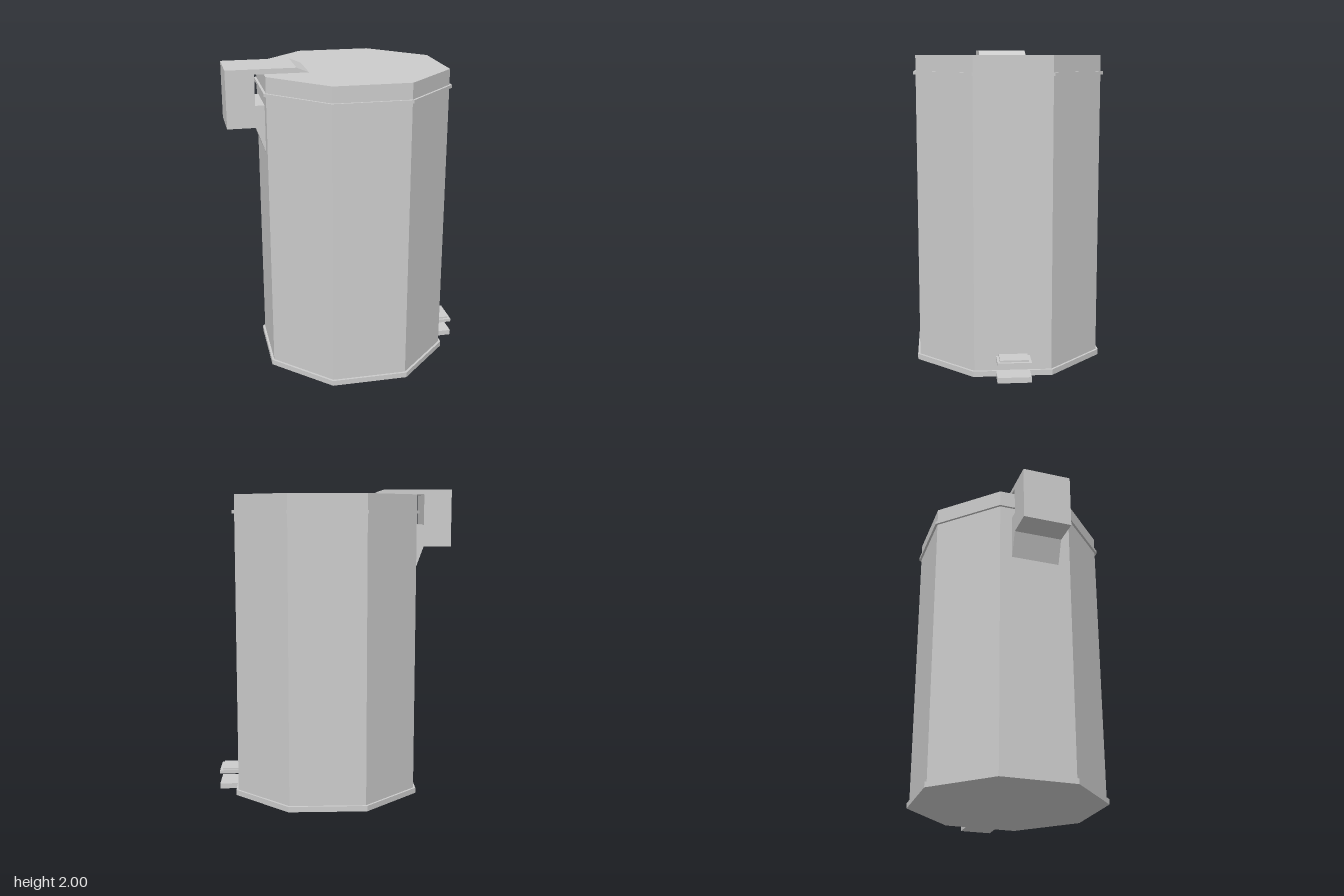
import * as THREE from 'three';

export function createModel() {
  const grey = new THREE.MeshStandardMaterial({ color: 0xcccccc });
  grey.name = 'lightGrey';

  const model = new THREE.Group();
  model.name = 'pedalBin';
  // The whole bin is turned slightly about its axis
  const bin = new THREE.Group();
  bin.name = 'bin';
  bin.position.x = 0.0525;
  bin.rotation.y = 0.11;
  model.add(bin);

  const add = (name, geometry) => {
    const mesh = new THREE.Mesh(geometry, grey);
    mesh.name = name;
    bin.add(mesh);
  };

  // Faceted eight-sided prism with flat sides facing +x and -x
  const octagon = (name, radius, y0, y1) => {
    let g = new THREE.CylinderGeometry(radius, radius, y1 - y0, 8);
    g.rotateY(Math.PI / 8);
    g.translate(0, (y0 + y1) / 2, 0);
    g = g.toNonIndexed();
    g.computeVertexNormals();
    add(name, g);
  };

  const slab = (name, x0, x1, y0, y1, width) => {
    const g = new THREE.BoxGeometry(x1 - x0, y1 - y0, width);
    g.translate((x0 + x1) / 2, (y0 + y1) / 2, 0);
    add(name, g);
  };

  octagon('base', 0.645, 0, 0.035);
  octagon('body', 0.629, 0.035, 1.848);
  octagon('rim', 0.645, 1.848, 1.868);
  octagon('lid', 0.629, 1.868, 1.968);

  // Hinge housing: arm over the lid, block behind, bracket against the wall
  const profile = new THREE.Shape([
    [-0.817, 1.635], [-0.639, 1.635], [-0.581, 1.475], [-0.581, 1.775],
    [-0.639, 1.775], [-0.639, 1.968], [-0.3, 1.968], [-0.377, 2], [-0.817, 2],
  ].map(([x, y]) => new THREE.Vector2(x, y)));
  const hinge = new THREE.ExtrudeGeometry(profile, { depth: 0.32, bevelEnabled: false });
  hinge.translate(0, 0, -0.16);
  add('hinge', hinge);

  // Foot plate, pedal and its raised pad
  slab('footPlate', 0.55, 0.715, 0, 0.035, 0.21);
  slab('pedal', 0.55, 0.715, 0.105, 0.127, 0.21);
  slab('pedalPad', 0.55, 0.697, 0.127, 0.138, 0.178);

  return model;
}
